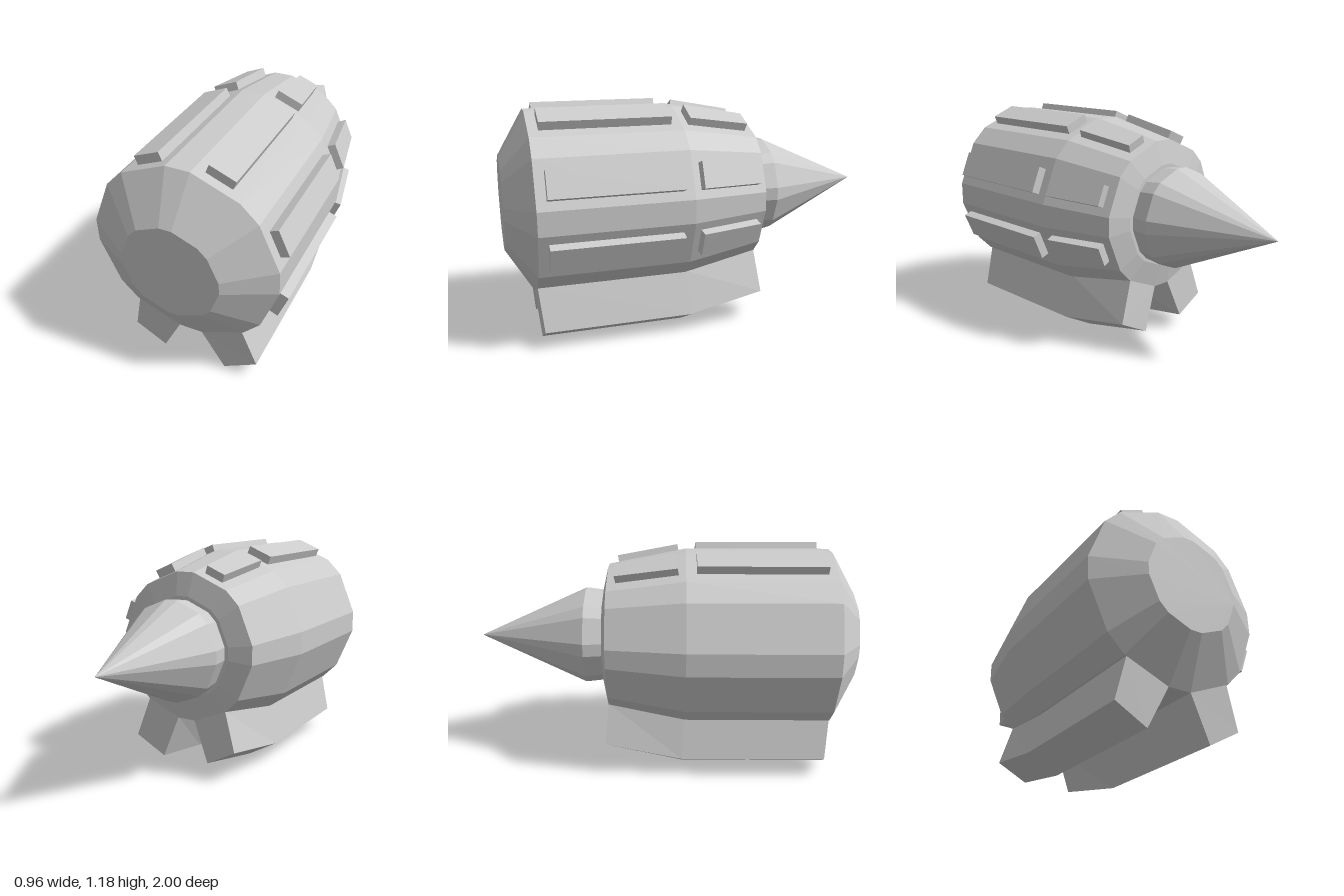
import * as THREE from 'three';

const CX = -0.018, CY = 0.687; // barrel axis
const rad = THREE.MathUtils.degToRad;
const material = new THREE.MeshStandardMaterial({ color: 0xcccccc, flatShading: true });

// Skin between rings of [x, y, z] points (counter-clockwise from the front, listed front to back)
function loft(name, rings) {
  const pos = [];
  const tri = (a, b, c) => pos.push(...a, ...b, ...c);
  const n = rings[0].length;
  for (let r = 0; r < rings.length - 1; r++) {
    for (let i = 0; i < n; i++) {
      const j = (i + 1) % n, p = rings[r], q = rings[r + 1];
      tri(p[i], q[i], p[j]);
      tri(p[j], q[i], q[j]);
    }
  }
  const first = rings[0], last = rings[rings.length - 1];
  for (let i = 1; i < n - 1; i++) {
    tri(first[0], first[i], first[i + 1]);
    tri(last[0], last[i + 1], last[i]);
  }
  const geometry = new THREE.BufferGeometry();
  geometry.setAttribute('position', new THREE.Float32BufferAttribute(pos, 3));
  geometry.computeVertexNormals();
  const mesh = new THREE.Mesh(geometry, material);
  mesh.name = name;
  return mesh;
}

// Octagon with narrow bevelled corners
function ring(radius, z) {
  const pts = [];
  for (let k = 0; k < 8; k++) {
    for (const d of [-7.3, 7.3]) {
      const a = rad(k * 45 + d);
      pts.push([CX + radius * Math.cos(a), CY + radius * Math.sin(a), z]);
    }
  }
  return pts;
}

// Raised plate on the barrel side facing the given angle; ends are [z, inner, outer, width]
function panel(name, angle, shift, ends, lean) {
  const c = Math.cos(rad(angle)), s = Math.sin(rad(angle));
  const at = (out, side, z) => [CX + out * c - side * s, CY + out * s + side * c, z];
  return loft(name, ends.map(([z, inner, outer, width]) => {
    const lo = shift - width / 2, hi = shift + width / 2;
    return [at(inner, lo, z + lean), at(outer, lo, z), at(outer, hi, z), at(inner, hi, z + lean)];
  }));
}

export function createModel() {
  const model = new THREE.Group();
  model.name = 'barrelPod';

  // Barrel with bevelled front and tapering rear
  model.add(loft('barrel', [
    [0.245, 1], [0.472, 0.865], [0.472, 0.105], [0.391, -0.3], [0.27, -0.328],
  ].map(([r, z]) => ring(r, z))));

  // Pointed rear cone on a short collar
  model.add(loft('rearCone', [
    [0.25, -0.32], [0.263, -0.425], [0.002, -1],
  ].map(([r, z]) => ring(r, z))));

  // Long and short plates along four sides
  const panels = new THREE.Group();
  panels.name = 'panels';
  for (const [angle, shift] of [[-22.5, 0.008], [22.5, -0.008], [67.5, 0.006], [112.5, -0.009]]) {
    panels.add(panel('longPanel', angle, shift,
      [[0.815, 0.44, 0.501, 0.137], [0.16, 0.44, 0.501, 0.137]], 0));
    panels.add(panel('shortPanel', angle, shift,
      [[0.062, 0.43, 0.489, 0.137], [-0.26, 0.368, 0.43, 0.108]], 0.011));
  }
  model.add(panels);

  // Runner feet: inner top, inner bottom, outer bottom, outer top; raised towards the rear
  const runner = (name, side, inner, outer) => {
    const x = (v) => CX + side * v;
    const sections = [
      [[0.058, 0.225, 0.865], [...inner, 0.845], [...outer, 0.845], [0.278, 0.315, 0.865]],
      [[0.058, 0.225, 0.1], [...inner, 0.09], [...outer, 0.09], [0.278, 0.315, 0.1]],
      [[0.05, 0.302, -0.3], [inner[0] - 0.031, inner[1] + 0.074, -0.317],
        [outer[0] - 0.031, outer[1] + 0.068, -0.317], [0.236, 0.38, -0.3]],
    ].map((s) => s.map(([px, py, pz]) => [x(px), py, pz]));
    return loft(name, side > 0 ? sections : sections.map((s) => s.reverse()));
  };
  model.add(runner('leftRunner', 1, [0.167, 0], [0.343, 0.095]));
  model.add(runner('rightRunner', -1, [0.171, 0.012], [0.332, 0.104]));

  return model;
}
